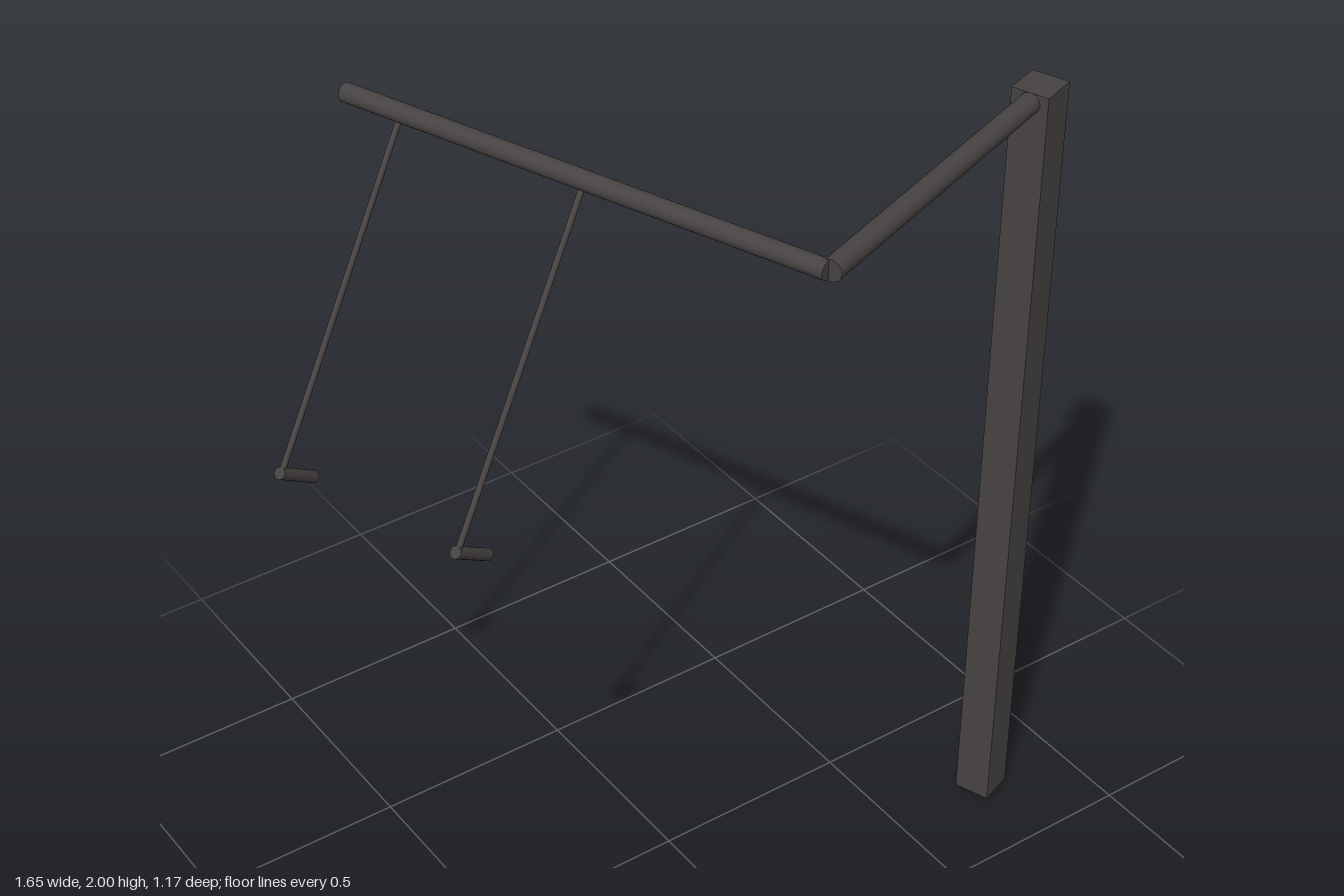
import * as THREE from 'three';

const UP = new THREE.Vector3(0, 1, 0);

export function createModel() {
  const group = new THREE.Group();
  const metal = new THREE.MeshStandardMaterial({ color: 0x484343 });
  metal.name = 'dark metal';

  // round bar between two points
  function bar(name, from, to, radius, sides) {
    const a = new THREE.Vector3(...from);
    const b = new THREE.Vector3(...to);
    const dir = b.clone().sub(a);
    const mesh = new THREE.Mesh(new THREE.CylinderGeometry(radius, radius, dir.length(), sides), metal);
    mesh.name = name;
    mesh.position.copy(a).add(b).multiplyScalar(0.5);
    mesh.quaternion.setFromUnitVectors(UP, dir.normalize());
    group.add(mesh);
  }

  // square upright post, turned to line up with the arm
  const yaw = THREE.MathUtils.degToRad(20);
  const post = new THREE.Mesh(new THREE.BoxGeometry(0.09, 2, 0.09), metal);
  post.name = 'post';
  post.position.set(0.767, 1, 0.275);
  post.rotation.y = yaw;
  group.add(post);

  // horizontal arm and the crossbar at its end
  bar('arm', [0.767, 1.975, 0.275], [-0.012, 1.975, 0.564], 0.025, 32);
  bar('crossbar', [-0.016, 1.975, 0.56], [-0.433, 1.975, -0.58], 0.022, 32);

  // two slanted rods, each with a grip square to its lower end
  const out = new THREE.Vector3(-Math.cos(yaw), 0, Math.sin(yaw));
  const slant = THREE.MathUtils.degToRad(35);
  const rodDir = out.clone().multiplyScalar(Math.sin(slant)).addScaledVector(UP, -Math.cos(slant));
  const gripDir = out.clone().multiplyScalar(-Math.cos(slant)).addScaledVector(UP, -Math.sin(slant));
  for (const [side, x, z] of [['near', -0.217, 0.003], ['far', -0.381, -0.445]]) {
    const top = new THREE.Vector3(x, 1.955, z);
    const end = top.clone().addScaledVector(rodDir, 0.795);
    bar(side + 'Rod', top.toArray(), end.toArray(), 0.007, 16);
    const grip = end.clone().addScaledVector(gripDir, -0.007);
    bar(side + 'Grip', grip.toArray(), grip.clone().addScaledVector(gripDir, 0.128).toArray(), 0.014, 20);
  }
  return group;
}
